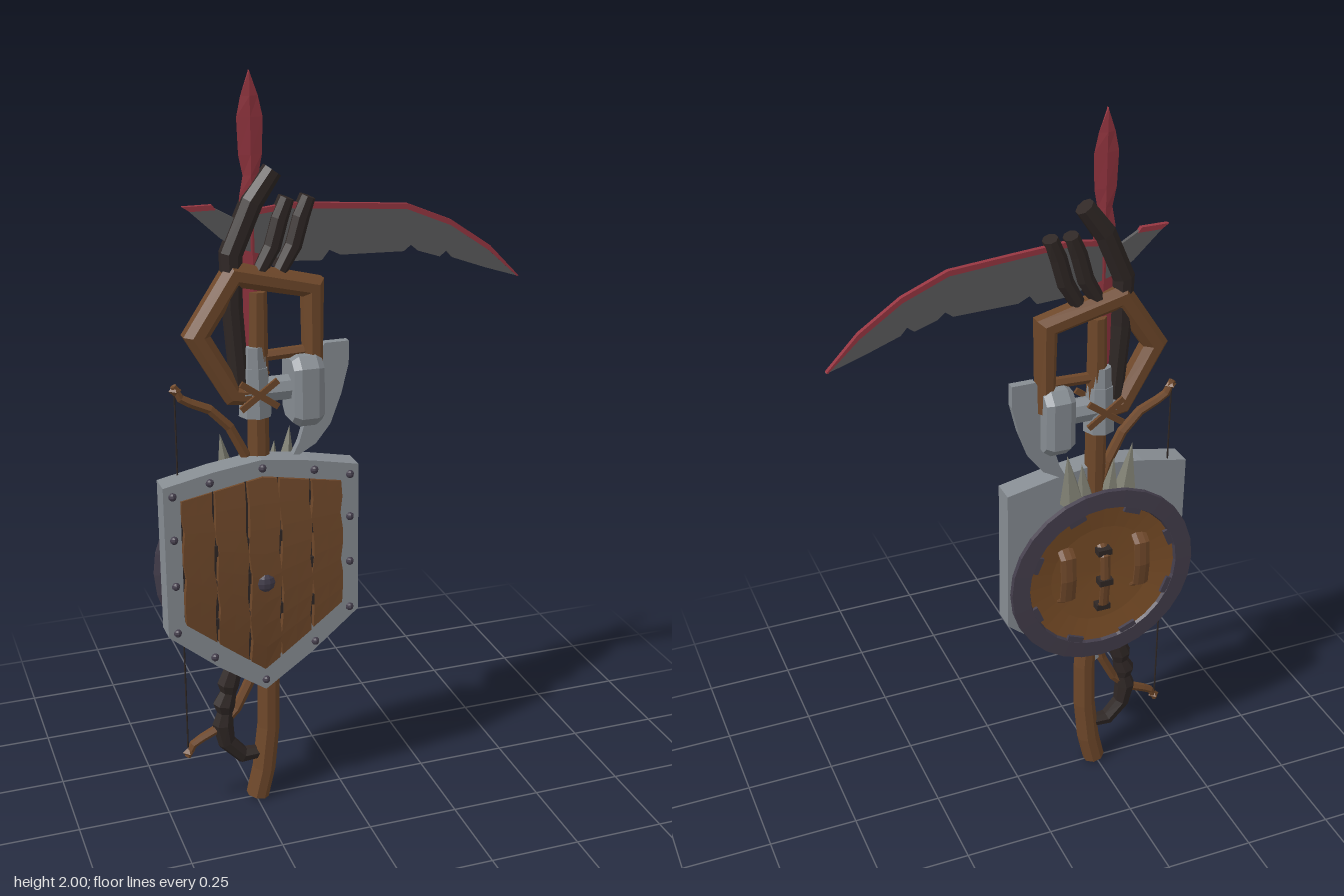
import * as THREE from 'three';

const mat = (name, color, side = THREE.FrontSide) => {
  const m = new THREE.MeshStandardMaterial({ color, flatShading: true, side });
  m.name = name;
  return m;
};
const wood = mat('wood', 0x6f482a);
const warmWood = mat('warm wood', 0x7c4f28, THREE.DoubleSide);
const dark = mat('dark wrap', 0x2f2725);
const red = mat('crimson', 0x963641);
const iron = mat('dark iron', 0x5a5a5b);
const steel = mat('steel', 0x878d93);
const rimMetal = mat('violet metal', 0x443e4c, THREE.DoubleSide);
const bone = mat('bone', 0x7f7f72);

const CX = -0.23; // axis of the whole bundle

// Mitred sweep along a path in the xy plane; each point is [x, y, radius], rz is the z radius
function sweep(path, sides = 8, rz = null) {
  const P = path.map(([x, y]) => new THREE.Vector2(x, y));
  const pos = [], idx = [];
  path.forEach(([x, y, r], i) => {
    const t0 = P[i].clone().sub(P[Math.max(i - 1, 0)]).normalize();
    const t1 = P[Math.min(i + 1, P.length - 1)].clone().sub(P[i]).normalize();
    const t = t0.clone().add(t1).normalize();
    const miter = 1 / Math.max(0.5, t.dot(i ? t0 : t1));
    for (let j = 0; j < sides; j++) {
      const a = ((j + (sides === 4 ? 0 : 0.5)) / sides) * Math.PI * 2;
      const c = Math.cos(a) * r * miter;
      pos.push(x - t.y * c, y + t.x * c, Math.sin(a) * (rz ?? r));
    }
  });
  const n = path.length, end = n * sides;
  pos.push(path[0][0], path[0][1], 0, path[n - 1][0], path[n - 1][1], 0);
  for (let j = 0; j < sides; j++) {
    const k = (j + 1) % sides, last = (n - 1) * sides;
    for (let i = 0; i < n - 1; i++) {
      const a = i * sides, b = a + sides;
      idx.push(a + j, a + k, b + k, a + j, b + k, b + j);
    }
    idx.push(end, k, j, end + 1, last + j, last + k);
  }
  const g = new THREE.BufferGeometry();
  g.setAttribute('position', new THREE.Float32BufferAttribute(pos, 3));
  g.setIndex(idx);
  g.computeVertexNormals();
  return g;
}

const outline = (pts) => new THREE.Shape(pts.map(([x, y]) => new THREE.Vector2(x, y)));

// Flat plate centred on z = 0
function plate(shape, depth) {
  const g = new THREE.ExtrudeGeometry(shape, { depth, bevelEnabled: false });
  g.translate(0, 0, -depth / 2);
  return g;
}

export function createModel() {
  const root = new THREE.Group();
  root.name = 'weaponBundle';
  const add = (name, geo, material, x = 0, y = 0, z = 0) => {
    const m = new THREE.Mesh(geo, material);
    m.name = name;
    m.position.set(x, y, z);
    root.add(m);
    return m;
  };

  // Wooden staff and its angular crook
  add('staff', sweep([[-0.245, 0.005, 0.032], [-0.225, 0.09, 0.032], [-0.21, 0.22, 0.031], [-0.207, 0.36, 0.03],
    [-0.225, 0.7, 0.028], [-0.222, 1.2, 0.028], [-0.218, 1.46, 0.024]]), wood);
  add('crook', sweep([[-0.22, 1.19, 0.028], [-0.29, 1.2, 0.03], [-0.38, 1.36, 0.032], [-0.28, 1.51, 0.033],
    [-0.075, 1.46, 0.03], [-0.075, 1.22, 0.025]], 8, 0.036), wood);
  add('crossPeg', sweep([[-0.2, 1.29, 0.015], [-0.06, 1.295, 0.015]], 6), wood);

  // Red spear blade
  add('spearBlade', sweep([[CX, 1.25, 0.025], [CX, 1.55, 0.027], [CX, 1.7, 0.03], [CX, 1.75, 0.02],
    [CX, 1.8, 0.03], [CX, 1.89, 0.033], [CX, 1.94, 0.022], [CX, 2, 0.001]], 4, 0.006), red);

  // Scythe: wrapped haft, blade, rear spur, clamps
  add('scytheHaft', sweep([[-0.175, 1.76, 0.026], [-0.23, 1.685, 0.03], [-0.285, 1.56, 0.03],
    [-0.285, 1.43, 0.027], [-0.27, 1.22, 0.025]]), dark);
  const top = [[-0.26, 1.66], [-0.13, 1.675], [0, 1.665], [0.18, 1.65], [0.3, 1.6], [0.41, 1.525], [0.495, 1.437]];
  add('scytheBlade', plate(outline([...top, [0.4, 1.468], [0.305, 1.503], [0.288, 1.522], [0.27, 1.508], [0.21, 1.528],
    [0.19, 1.545], [0.17, 1.53], [0, 1.535], [-0.03, 1.55], [-0.05, 1.525], [-0.13, 1.53], [-0.26, 1.57]]), 0.01), iron);
  const strip = top.map(([x, y], i) => [x - (i === 6 ? 0.004 : 0.002), y - (i === 6 ? 0 : 0.012)]).reverse();
  add('scytheEdge', plate(outline([...top.map(([x, y]) => [x, y + 0.002]), ...strip]), 0.013), red);
  add('scytheSpur', plate(outline([[-0.395, 1.68], [-0.33, 1.68], [-0.26, 1.64], [-0.26, 1.57], [-0.31, 1.6]]), 0.01), iron);
  add('spurEdge', plate(outline([[-0.405, 1.685], [-0.33, 1.685], [-0.32, 1.672], [-0.385, 1.672]]), 0.013), red);
  for (const dx of [0, -0.055]) {
    add('scytheClamp', sweep([[-0.085 + dx, 1.69, 0.02], [-0.105 + dx, 1.64, 0.024], [-0.125 + dx, 1.57, 0.024],
      [-0.16 + dx, 1.51, 0.02]], 8, 0.026), dark);
  }

  // Dark knotted hook at the foot
  add('knottedHook', sweep([[-0.27, 0.55, 0.022], [-0.305, 0.42, 0.024], [-0.322, 0.37, 0.03], [-0.322, 0.345, 0.022],
    [-0.335, 0.31, 0.03], [-0.333, 0.285, 0.022], [-0.34, 0.25, 0.029], [-0.33, 0.19, 0.024],
    [-0.285, 0.14, 0.022], [-0.225, 0.14, 0.018]], 7), dark);

  // Bow, symmetric about y = 0.7
  const limb = [[-0.442, 0.535, 0.009], [-0.425, 0.5, 0.011], [-0.4, 0.485, 0.012], [-0.35, 0.462, 0.013],
    [-0.3, 0.41, 0.014], [-0.26, 0.33, 0.015], [-0.21, 0.15, 0.016]];
  add('bow', sweep([...limb.map(([x, y, r]) => [x, 0.7 + y, r]),
    ...limb.slice().reverse().map(([x, y, r]) => [x, 0.7 - y, r])], 6), wood);
  add('bowString', new THREE.CylinderGeometry(0.0025, 0.0025, 1.06, 5), dark, -0.44, 0.7);
  for (const s of [-1, 1]) add('bowNock', new THREE.OctahedronGeometry(0.017), wood, -0.438, 0.7 + s * 0.522);

  // Hammer head, neck and socket
  const block = outline([[-0.06, -0.065], [-0.035, -0.09], [0.035, -0.09], [0.06, -0.065],
    [0.06, 0.065], [0.035, 0.09], [-0.035, 0.09], [-0.06, 0.065]]);
  const blockGeo = new THREE.ExtrudeGeometry(block, { depth: 0.045, bevelThickness: 0.018, bevelSize: 0.012,
    bevelOffset: -0.008, bevelSegments: 1 });
  blockGeo.translate(0, 0, -0.0225).rotateY(Math.PI / 2);
  add('hammerHead', blockGeo, steel, -0.1, 1.195);
  add('hammerNeck', new THREE.CylinderGeometry(0.034, 0.034, 0.13, 8).rotateZ(Math.PI / 2), steel, -0.2, 1.2);
  add('socket', new THREE.CylinderGeometry(0.036, 0.044, 0.13, 8), steel, CX, 1.2);
  add('socketCollar', new THREE.CylinderGeometry(0.03, 0.034, 0.06, 8), steel, CX, 1.29);
  for (const side of [-1, 1]) for (const tilt of [-1, 1]) {
    add('lashing', new THREE.BoxGeometry(0.016, 0.12, 0.008), wood, CX, 1.2, side * 0.043).rotation.z = tilt * 0.95;
  }

  // Axe blade
  add('axeBlade', plate(outline([[-0.13, 1.285], [-0.06, 1.285], [-0.045, 1.31], [0.02, 1.31], [0.02, 1.25], [0, 1.17],
    [-0.03, 1.09], [-0.07, 1.04], [-0.14, 1.0], [-0.115, 1.05], [-0.1, 1.1], [-0.13, 1.12]]), 0.022), steel);

  // Bone spikes above the shields
  for (const [x, y, h, tilt] of [[-0.31, 1.01, 0.15, 0.12], [-0.14, 1.01, 0.15, -0.12], [-0.26, 0.98, 0.14, 0.1], [-0.18, 0.98, 0.14, -0.1]]) {
    add('boneSpike', new THREE.ConeGeometry(0.035, h, 5), bone, x, y, -0.025).rotation.z = tilt;
  }

  // Front shield: steel body, raised frame, dark backing, bowed planks
  const outer = [[-0.262, 0.985], [-0.13, 1.012], [0, 1.03], [0.13, 1.012], [0.262, 0.985], [0.262, 0.565],
    [0.13, 0.455], [0, 0.365], [-0.13, 0.455], [-0.262, 0.565]];
  const inner = [[-0.218, 0.945], [0, 0.985], [0.218, 0.945], [0.218, 0.6], [0, 0.42], [-0.218, 0.6]];
  add('shieldBody', plate(outline(outer), 0.04), steel, CX, 0, 0.01);
  const frame = outline(outer);
  frame.holes.push(outline(inner));
  add('shieldFrame', plate(frame, 0.025), steel, CX, 0, 0.0425);
  add('shieldBacking', plate(outline(inner), 0.008), dark, CX, 0, 0.034);
  for (let i = -2; i <= 2; i++) {
    const g = new THREE.BoxGeometry(0.08, 1, 0.02, 2, 8, 1), p = g.attributes.position;
    for (let v = 0; v < p.count; v++) {
      const t = p.getY(v) + 0.5, wob = 0.004 * Math.sin(t * 17 + i * 2.3);
      const x = i * 0.087 + p.getX(v) + (t > 0 && t < 1 ? wob : 0);
      const lo = 0.425 + Math.abs(x) * 0.8, hi = 0.98 - Math.abs(x) * 0.17;
      const y = lo + (hi - lo) * t;
      const bow = Math.max(0, 1 - ((y - 0.7) / 0.29) ** 2) * (0.024 - Math.abs(i) * 0.005);
      p.setXYZ(v, x, y, 0.041 + p.getZ(v) + bow);
    }
    add('plank', g, wood, CX);
  }
  for (const i of [-1.5, -0.5, 0.5, 1.5]) for (const y of [0.6, 0.71, 0.81]) {
    add('plankNick', new THREE.BoxGeometry(0.012, 0.03, 0.008), dark, CX + i * 0.087, y + i * 0.01, 0.062 - Math.abs(i) * 0.003);
  }
  add('boss', new THREE.SphereGeometry(0.028, 10, 6).scale(1, 1, 0.6), rimMetal, CX, 0.69, 0.067);
  const rivets = [[0, 1.007], [0, 0.395]];
  for (const s of [-1, 1]) for (const [x, y] of [[0.238, 0.96], [0.238, 0.84], [0.238, 0.71], [0.238, 0.575],
    [0.14, 0.985], [0.14, 0.487]]) rivets.push([s * x, y]);
  for (const [x, y] of rivets) add('rivet', new THREE.SphereGeometry(0.011, 8, 6), rimMetal, CX + x, y, 0.056);

  // Round shield on the back
  const lathe = (pts) => new THREE.LatheGeometry(pts.map(([r, z]) => new THREE.Vector2(r, z)), 28).rotateX(Math.PI / 2);
  // rotateX maps the profile height to +z
  add('roundShieldWood', lathe([[0, -0.04], [0.15, -0.046], [0.225, -0.056], [0.225, -0.02], [0, -0.013]]), warmWood, CX, 0.7);
  add('roundShieldRim', lathe([[0.22, -0.064], [0.27, -0.062], [0.272, -0.05], [0.2, -0.017], [0.22, -0.064]]), rimMetal, CX, 0.7);
  for (let i = 0; i < 8; i++) {
    const a = ((i + 0.5) / 8) * Math.PI * 2;
    add('rimTab', new THREE.BoxGeometry(0.03, 0.05, 0.009), rimMetal,
      CX + Math.cos(a) * 0.217, 0.7 + Math.sin(a) * 0.217, -0.0585).rotation.z = a;
  }

  // Arm straps and centre grip
  const strap = [[0.04, -0.085, 0.007], [0.068, -0.065, 0.007], [0.075, 0, 0.007], [0.068, 0.065, 0.007], [0.04, 0.085, 0.007]];
  for (const dx of [-0.11, 0.11]) {
    add('armStrap', sweep(strap, 8, 0.024), wood, CX + dx, 0.72).rotation.y = Math.PI / 2;
  }
  add('centreGrip', sweep(strap.map(([x, y, r]) => [x, y * 1.2, r]), 8, 0.015), wood, CX, 0.69).rotation.y = Math.PI / 2;
  for (const y of [0.6, 0.69, 0.78]) add('gripBinding', new THREE.BoxGeometry(0.04, 0.018, 0.03), dark, CX, y, y === 0.69 ? -0.07 : -0.055);

  return root;
}
